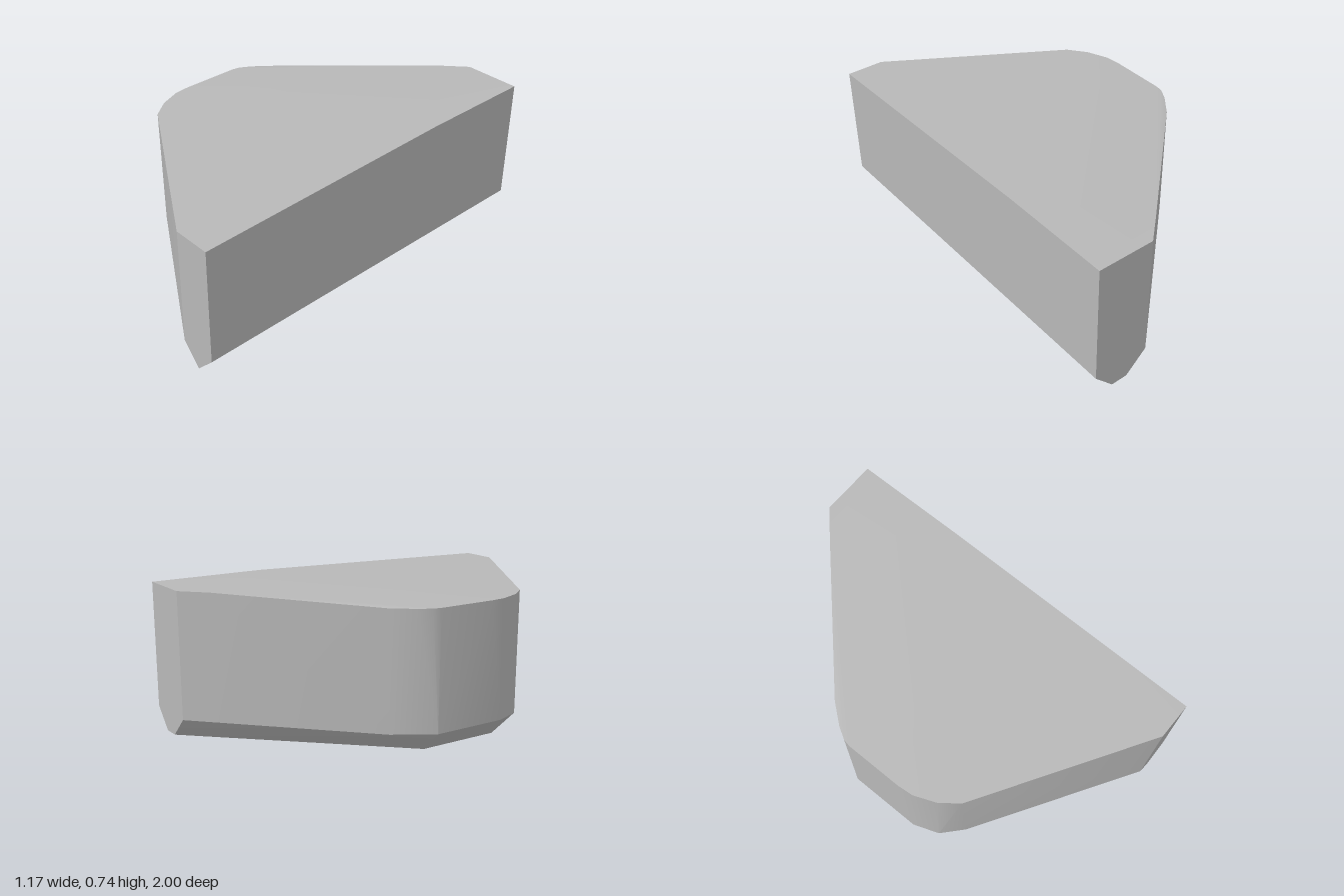
import * as THREE from 'three';
import { ConvexGeometry } from 'three/addons/geometries/ConvexGeometry.js';
import { toCreasedNormals } from 'three/addons/utils/BufferGeometryUtils.js';

const RIM = 0.705, PEAK = 0.742, CHAMFER = 0.105;

// Lift a plan outline of [x, z] corners to one height
const ring = (y, outline) => outline.map(([x, z]) => new THREE.Vector3(x, y, z));

export function createModel() {
  const model = new THREE.Group();
  const grey = new THREE.MeshStandardMaterial({ color: 0xb8b8b8 });
  grey.name = 'plain grey';

  const corners = [
    // raised flat area at the back of the top
    ...ring(PEAK, [[0.17, -0.89], [0.29, -1], [0.583, -1], [0.583, -0.4]]),
    // lower rim of the sloping top, with a rounded nose
    ...ring(RIM, [
      [0.583, 1], [0.39, 1], [-0.46, 0.48], [-0.53, 0.39], [-0.575, 0.28], [-0.583, 0.2],
      [-0.583, -0.1], [-0.575, -0.14], [-0.54, -0.2], [-0.46, -0.3],
    ]),
    // foot of the walls, where the chamfer begins
    ...ring(CHAMFER, [
      [0.583, -1], [0.583, 1], [0.39, 1], [-0.43, 0.495], [-0.535, 0.4], [-0.583, 0.27],
      [-0.583, -0.11], [-0.46, -0.3], [0.29, -1],
    ]),
    // underside, drawn in by the chamfer
    ...ring(0, [[0.485, -1], [0.485, 1], [-0.34, 0.42], [-0.472, 0.31], [-0.472, -0.11], [0.4, -1]]),
  ];

  const block = new THREE.Mesh(toCreasedNormals(new ConvexGeometry(corners), 0.4), grey);
  block.name = 'chamferedBlock';
  model.add(block);
  return model;
}
